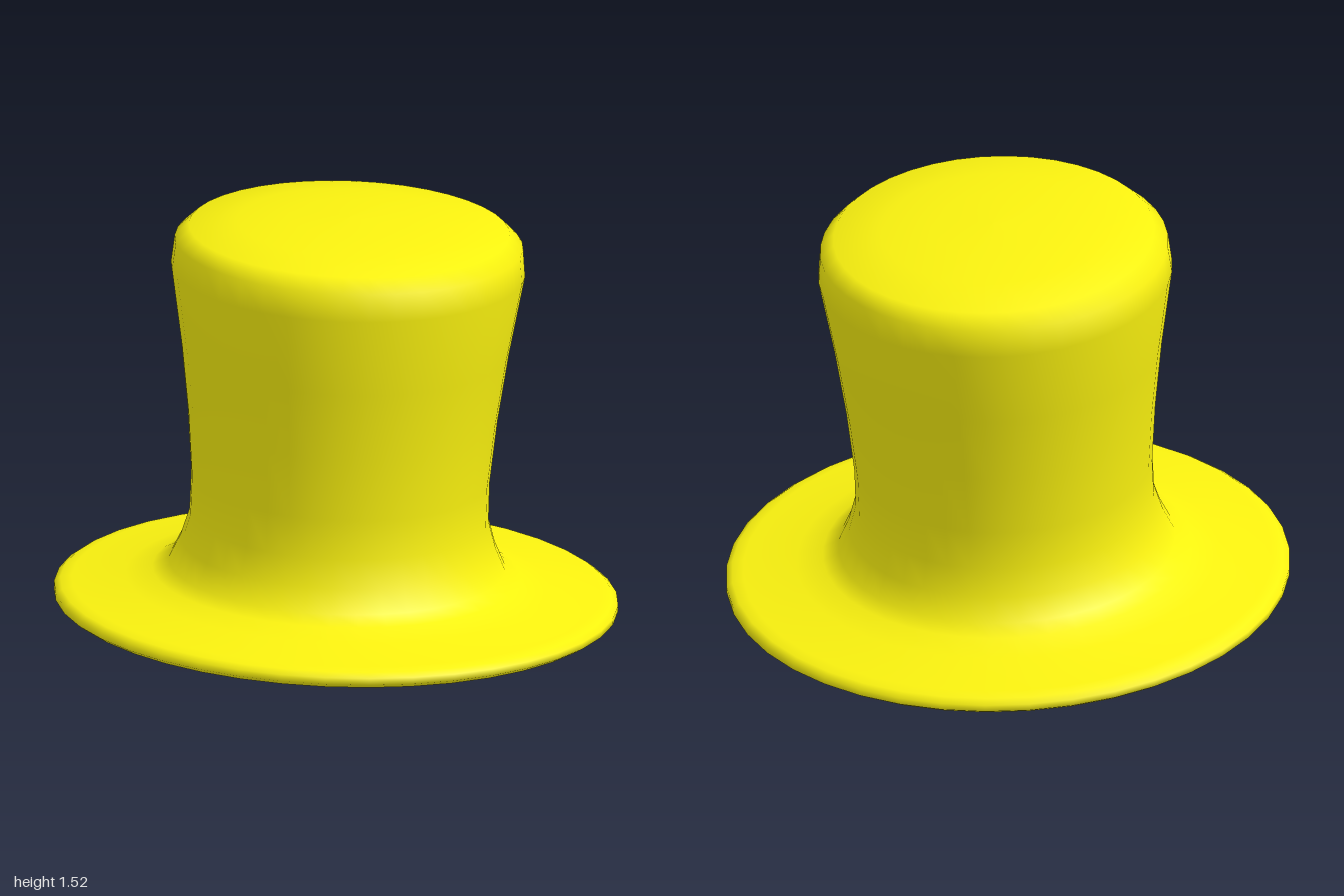
import * as THREE from 'three';

const SEGMENTS = 40;

export function createModel() {
  const group = new THREE.Group();
  group.name = 'topHat';
  const material = new THREE.MeshStandardMaterial({ color: 0xfaf20f });

  // The whole hat tips slightly back: front of the brim up, crown towards -z
  const hat = new THREE.Group();
  hat.name = 'tiltedHat';
  hat.rotation.x = -0.063;
  hat.position.y = 0.099;
  group.add(hat);

  function turned(name, profile) {
    const points = profile.map(([r, y]) => new THREE.Vector2(r, y));
    const geometry = new THREE.LatheGeometry(points, SEGMENTS, Math.PI / SEGMENTS);
    const mesh = new THREE.Mesh(geometry, material);
    mesh.name = name;
    hat.add(mesh);
  }

  // Rounded rim, flared neck and domed crown
  turned('brimAndCrown', [
    [0.93, -0.039], [0.975, -0.028], [1.002, -0.01], [1.002, 0.014], [0.98, 0.03],
    [0.94, 0.038], [0.75, 0.063], [0.655, 0.092], [0.598, 0.122], [0.56, 0.205],
    [0.531, 0.305], [0.53, 0.45], [0.55, 0.68], [0.582, 0.93], [0.629, 1.22],
    [0.619, 1.32], [0.57, 1.368], [0.40, 1.393], [0.22, 1.41], [0, 1.414],
  ]);

  // Hollow inside, running over a low rounded lip into the dished brim underside
  turned('liningAndUnderside', [
    [0, 1.35], [0.45, 1.335], [0.54, 1.31], [0.57, 1.22], [0.525, 0.93], [0.495, 0.68],
    [0.475, 0.45], [0.47, 0.3], [0.472, 0.06], [0.48, -0.01], [0.5, -0.044],
    [0.56, -0.015], [0.66, 0], [0.76, -0.012], [0.86, -0.032], [0.93, -0.039],
  ]);

  return group;
}
